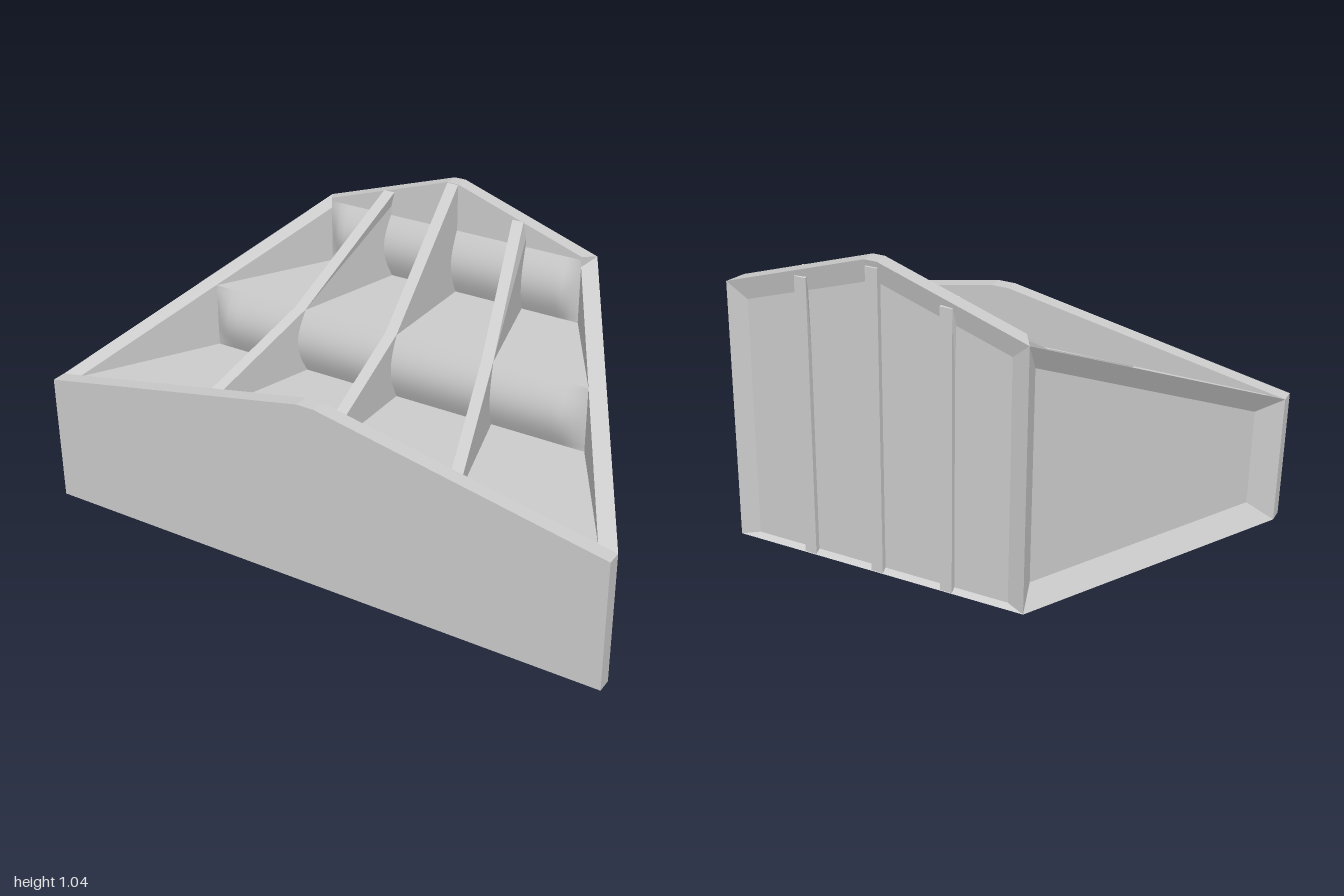
import * as THREE from 'three';

const material = new THREE.MeshStandardMaterial({ color: 0xcccccc, side: THREE.DoubleSide });
const flatMaterial = new THREE.MeshStandardMaterial({ color: 0xcccccc, side: THREE.DoubleSide, flatShading: true });

const FRONT = 0.41, MID = -0.03, BACK = -0.41, REAR = -0.46;
const LOW = 0.445, HIGH = 0.665, TOP = 0.885;

// x of the outer face of a splayed side wall, and of its inner face
const outerX = (z) => 1 - 0.575 * (FRONT - z);
const innerX = (z) => outerX(z) - 0.06;

function add(parent, name, geometry, mat = flatMaterial) {
  const mesh = new THREE.Mesh(geometry, mat);
  mesh.name = name;
  parent.add(mesh);
  return mesh;
}

// Hollow wall skinned through loops of points, inner face first. It is open
// along its bottom edge, and the inner face stops just under the lower tread.
function wallSkin(loops) {
  const out = [];
  const tri = (...pts) => pts.forEach((p) => out.push(...p));
  const n = loops[0].length;
  for (let k = 0; k + 1 < loops.length; k++) {
    const a = loops[k], b = loops[k + 1];
    for (let i = k === 0 ? 1 : 0; i < n; i++) {
      const j = (i + 1) % n;
      tri(a[i], a[j], b[j]);
      tri(a[i], b[j], b[i]);
    }
  }
  const inner = loops[0].map(([x, y, z]) => [x, Math.max(y, LOW - 0.01), z]);
  const last = loops[loops.length - 1];
  for (let i = 1; i + 1 < n; i++) {
    tri(inner[0], inner[i + 1], inner[i]);
    tri(last[0], last[i], last[i + 1]);
  }
  const g = new THREE.BufferGeometry();
  g.setAttribute('position', new THREE.Float32BufferAttribute(out, 3));
  g.computeVertexNormals();
  return g;
}

const atZ = (pts, z) => pts.map(([x, y]) => [x, y, z]);

function shapeOf(points) {
  return new THREE.Shape(points.map(([x, y]) => new THREE.Vector2(x, y)));
}

// Front panel with a shallow peak
function frontPanel() {
  const outline = [[-1, 0], [1, 0], [1, 0.442], [0.03, 0.633], [-0.03, 0.633], [-1, 0.442]];
  return wallSkin([atZ(outline, FRONT), atZ(outline, 0.46)]);
}

// Side wall with a bevelled recess on its outer face
function sideWall() {
  const inner = [[FRONT, 0], [BACK, 0], [BACK, 0.86], [FRONT, 0.442]]
    .map(([z, y]) => [innerX(z), y, z]);
  const outer = [[FRONT, 0], [REAR, 0], [REAR, TOP], [FRONT, 0.442]]
    .map(([z, y]) => [outerX(z), y, z]);
  const recess = [[0.36, 0.07], [-0.39, 0.07], [-0.39, 0.785], [0.36, 0.402]]
    .map(([z, y]) => [outerX(z) - 0.052, y, z]);
  return wallSkin([inner, outer, recess]);
}

// Peaked back wall with a shallow bevelled recess on its rear face
function backWall() {
  const outline = (x, y, peak, base) =>
    [[x, base], [-x, base], [-x, y], [-0.02, peak], [0.02, peak], [x, y]];
  return wallSkin([
    atZ(outline(innerX(BACK), 0.895, 1.045, 0), BACK),
    atZ(outline(0.5, TOP, 1.045, 0), REAR),
    atZ(outline(0.44, 0.83, 0.97, 0.012), -0.44),
  ]);
}

// Riser bulging forward, the bulge fading out at both ends
function riser(halfWidth, y0, y1, z) {
  const g = new THREE.PlaneGeometry(2 * halfWidth, y1 - y0, 40, 14);
  const p = g.attributes.position;
  for (let i = 0; i < p.count; i++) {
    const t = p.getY(i) / (y1 - y0) + 0.5;
    const fade = Math.min(1, (halfWidth - Math.abs(p.getX(i))) / 0.05);
    p.setZ(i, 0.035 * Math.sin(Math.PI * t) * fade);
  }
  g.translate(0, (y0 + y1) / 2, z);
  g.computeVertexNormals();
  return g;
}

// Flat tread between the side walls
function tread(y, z0, z1) {
  const a = innerX(z0), b = innerX(z1);
  const g = new THREE.ShapeGeometry(shapeOf([[-a, -z0], [a, -z0], [b, -z1], [-b, -z1]]));
  return g.rotateX(-Math.PI / 2).translate(0, y, 0);
}

// Upright rib over the steps, running down the back wall as a strip;
// slant splays it outward towards the front
function rib(x, peak, slant) {
  const s = shapeOf([
    [FRONT, LOW], [MID, HIGH + 0.002], [BACK, peak], [-0.458, peak - 0.02],
    [-0.458, 0], [-0.435, 0], [-0.435, HIGH - 0.01], [MID - 0.01, HIGH - 0.01],
    [MID - 0.01, LOW - 0.005], [FRONT, LOW - 0.005],
  ]);
  const g = new THREE.ExtrudeGeometry(s, { depth: 0.04, bevelEnabled: false });
  g.translate(0, 0, -0.02).rotateY(-Math.PI / 2);
  const p = g.attributes.position;
  for (let i = 0; i < p.count; i++) {
    p.setX(i, p.getX(i) + x + slant * (Math.max(p.getZ(i), BACK) - BACK));
  }
  g.computeVertexNormals();
  return g;
}

export function createModel() {
  const model = new THREE.Group();
  model.name = 'steppedBase';

  add(model, 'frontPanel', frontPanel());
  add(model, 'backWall', backWall());

  // Treads and bulging risers
  add(model, 'lowerTread', tread(LOW, FRONT, MID));
  add(model, 'upperTread', tread(HIGH, MID, BACK));
  add(model, 'lowerRiser', riser(innerX(MID), LOW, HIGH, MID), material);
  add(model, 'upperRiser', riser(innerX(BACK), HIGH, TOP, BACK + 0.002), material);

  // Side walls and splayed ribs, mirrored
  add(model, 'centreRib', rib(0, 1.043, 0));
  for (const [side, sign] of [['left', 1], ['right', -1]]) {
    add(model, side + 'Wall', sideWall()).scale.x = sign;
    add(model, side + 'Rib', rib(0.24, 0.967, 0.28)).scale.x = sign;
  }
  return model;
}
